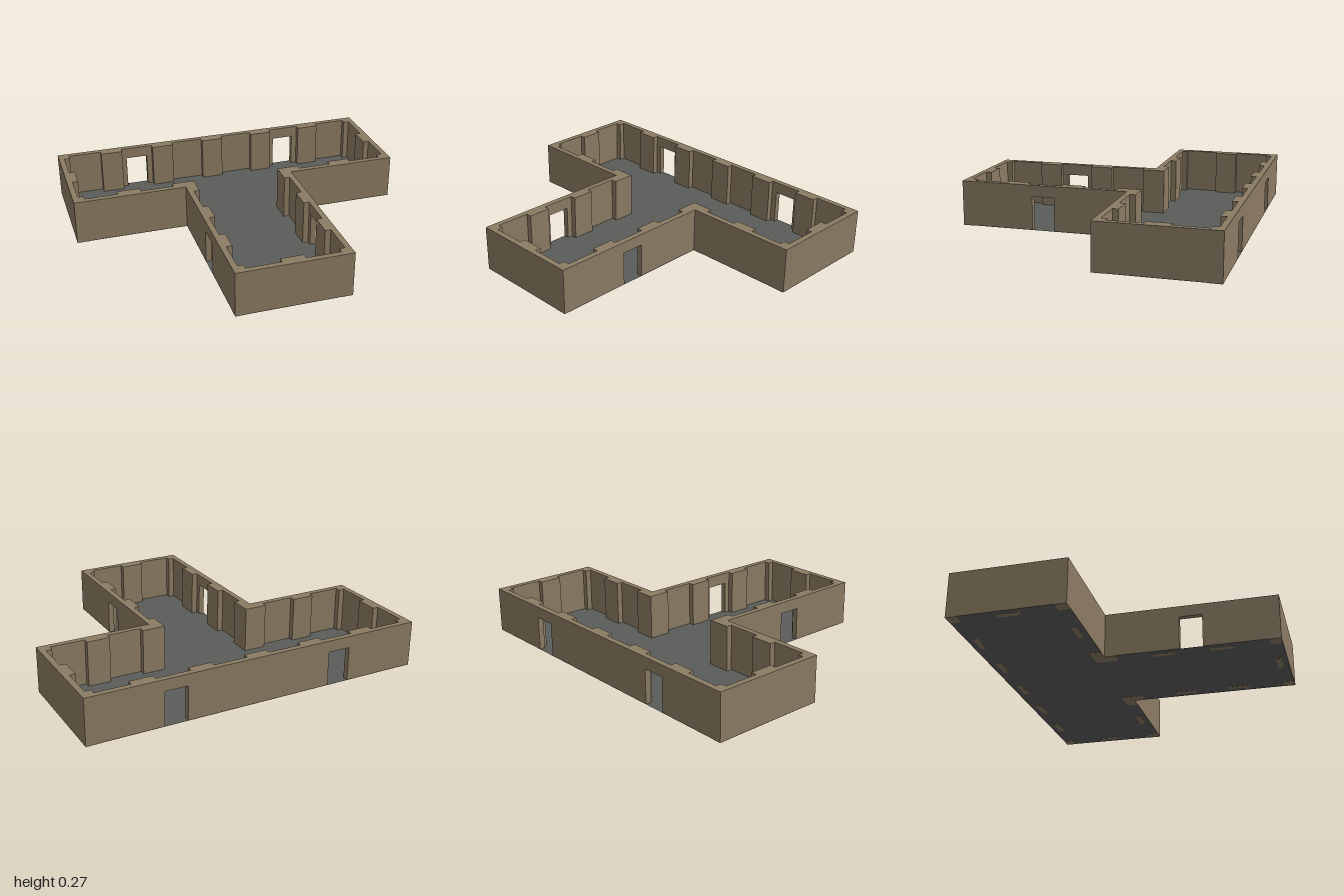
import * as THREE from 'three';

const M = 1 / 3;        // bay length
const H = 0.267;        // wall height
const T = M / 10;       // wall thickness
const P = M / 5;        // pilaster half width, and its depth from the outer face

export function createModel() {
  const model = new THREE.Group();
  model.name = 'hall';
  const stone = new THREE.MeshStandardMaterial({ color: 0x8b7b63 });
  stone.name = 'tan stone';
  const slate = new THREE.MeshStandardMaterial({ color: 0x5a5c59, side: THREE.DoubleSide });
  slate.name = 'slate floor';

  // T-shaped outline (x, z in bays); doors lists the bays that hold a doorway
  const corners = [
    { name: 'backWall', p: [-3, -2.5], doors: [1, 4] },
    { name: 'leftEndWall', p: [3, -2.5] },
    { name: 'leftArmFrontWall', p: [3, -0.5] },
    { name: 'leftStemWall', p: [1, -0.5], inner: true, doors: [1] },
    { name: 'frontWall', p: [1, 2.5] },
    { name: 'rightStemWall', p: [-1, 2.5], doors: [1] },
    { name: 'rightArmFrontWall', p: [-1, -0.5], inner: true },
    { name: 'rightEndWall', p: [-3, -0.5] },
  ];

  // Floor sheet
  const plan = new THREE.Shape(corners.map(c => new THREE.Vector2(c.p[0] * M, -c.p[1] * M)));
  const floor = new THREE.Mesh(new THREE.ShapeGeometry(plan).rotateX(-Math.PI / 2), slate);
  floor.name = 'floor';
  floor.position.y = 0.001;
  model.add(floor);

  corners.forEach((c, k) => {
    const next = corners[(k + 1) % corners.length];
    const dx = next.p[0] - c.p[0], dz = next.p[1] - c.p[1];
    const bays = Math.hypot(dx, dz), L = bays * M;

    // Local frame: x along the wall, z inward
    const side = new THREE.Group();
    side.name = c.name;
    side.position.set(c.p[0] * M, 0, c.p[1] * M);
    side.rotation.y = Math.atan2(-dz, dx);
    model.add(side);

    // Wall panel with doorways notched from the bottom
    const y0 = 0.002;
    const s = new THREE.Shape();
    s.moveTo(0, y0);
    for (const b of c.doors || []) {
      const m = (b + 0.5) * M;
      s.lineTo(m - P, y0);
      s.lineTo(m - P, 0.2);
      s.lineTo(m + P, 0.2);
      s.lineTo(m + P, y0);
    }
    s.lineTo(L, y0);
    s.lineTo(L, H);
    s.lineTo(0, H);
    const panel = new THREE.Mesh(
      new THREE.ExtrudeGeometry(s, { depth: T, bevelEnabled: false }), stone);
    panel.name = 'wallPanel';
    side.add(panel);

    // Pilasters between bays; corner posts at the ends wrap inner corners
    for (let i = 0; i <= bays; i++) {
      const a = i === 0 && !c.inner ? 0 : i * M - P;
      const b = i === bays && !next.inner ? L : i * M + P;
      const end = i === 0 || i === bays;
      const z0 = end ? 0 : T;
      const post = new THREE.Mesh(new THREE.BoxGeometry(b - a, H, P - z0), stone);
      post.name = end ? 'cornerPost' : 'pilaster';
      post.position.set((a + b) / 2, H / 2, (P + z0) / 2);
      side.add(post);
    }
  });

  return model;
}
